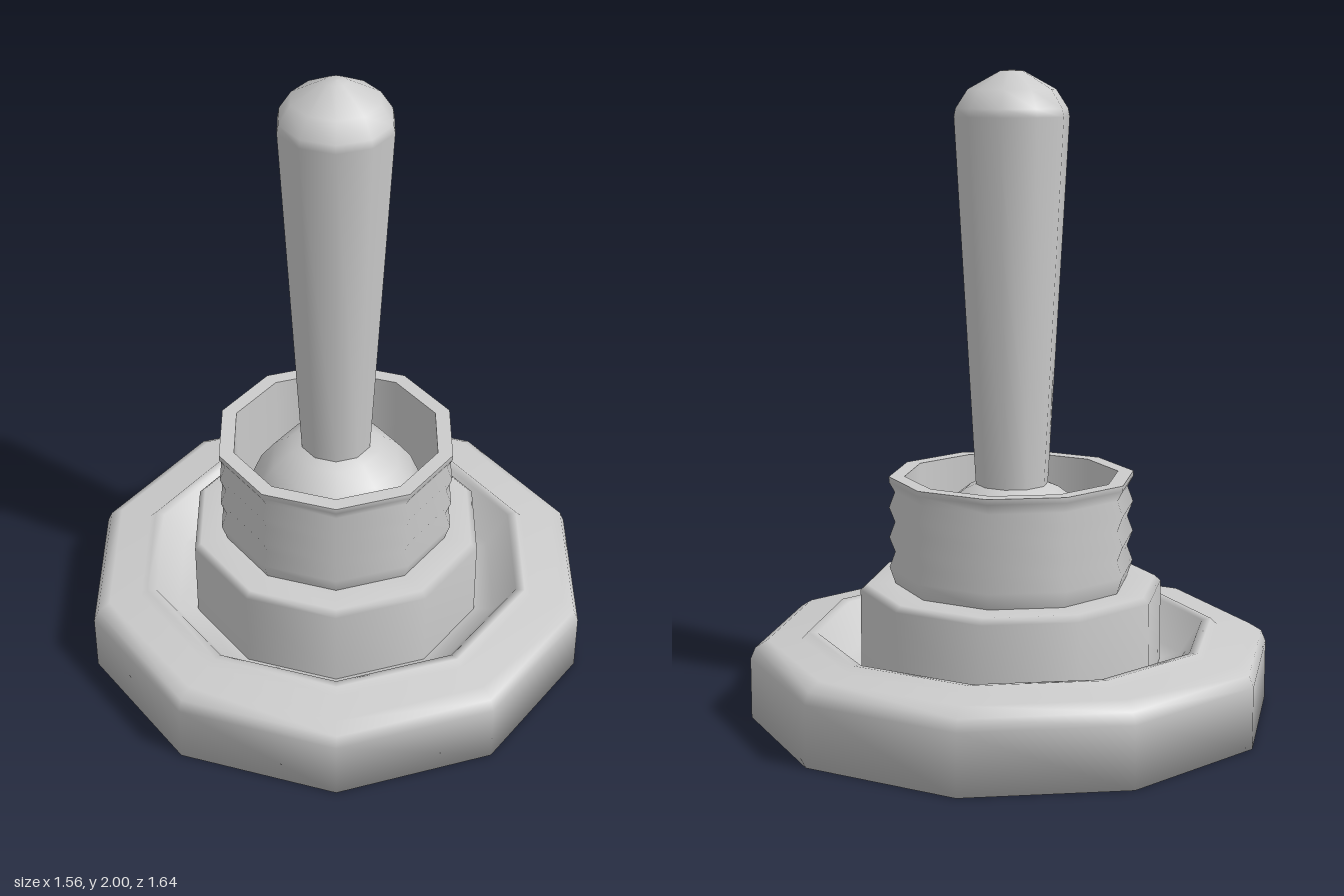
import * as THREE from 'three';

const SIDES = 10;

// Revolve [radius, height] points, listed from the bottom outwards and up
function lathe(name, points) {
  const geometry = new THREE.LatheGeometry(points.map(([r, y]) => new THREE.Vector2(r, y)), SIDES);
  const mesh = new THREE.Mesh(geometry, new THREE.MeshStandardMaterial({ color: 0xcccccc }));
  mesh.name = name;
  return mesh;
}

export function createModel() {
  const group = new THREE.Group();
  group.name = 'toggleSwitch';

  // Wide base with a rounded shoulder, a raised lip and a dished groove
  group.add(lathe('base', [
    [0, 0], [0.82, 0], [0.82, 0.19], [0.805, 0.225], [0.765, 0.25], [0.66, 0.25],
    [0.64, 0.27], [0.61, 0.265], [0.54, 0.16], [0.46, 0.14],
  ]));

  // Collar rising out of the groove
  group.add(lathe('collar', [
    [0.475, 0.13], [0.475, 0.4], [0.455, 0.418], [0.36, 0.418],
  ]));

  // Threaded bushing: ridged outside, hard-edged rim, hollow inside
  const bushing = [[0.365, 0.415]];
  for (let i = 0; i < 3; i++) {
    const y = 0.47 + i * 0.095;
    bushing.push([0.384, y], [0.366, y + 0.048]);
  }
  bushing.push(
    [0.384, 0.74], [0.384, 0.757], [0.384, 0.757],
    [0.335, 0.757], [0.335, 0.757],
    [0.335, 0.44], [0.335, 0.44], [0.2, 0.44],
  );
  group.add(lathe('threadedBushing', bushing));

  // Pivot ball inside the bushing
  const ball = [];
  for (let i = 0; i <= 6; i++) {
    const a = (i / 6) * Math.PI / 2;
    ball.push([0.293 * Math.cos(a), 0.46 + 0.293 * Math.sin(a)]);
  }
  group.add(lathe('pivotBall', ball));

  // Tapered lever with a rounded tip
  group.add(lathe('lever', [
    [0.105, 0.6], [0.115, 0.76], [0.177, 1.86], [0.172, 1.885], [0.135, 1.942],
    [0.035, 1.997], [0, 2],
  ]));

  return group;
}
